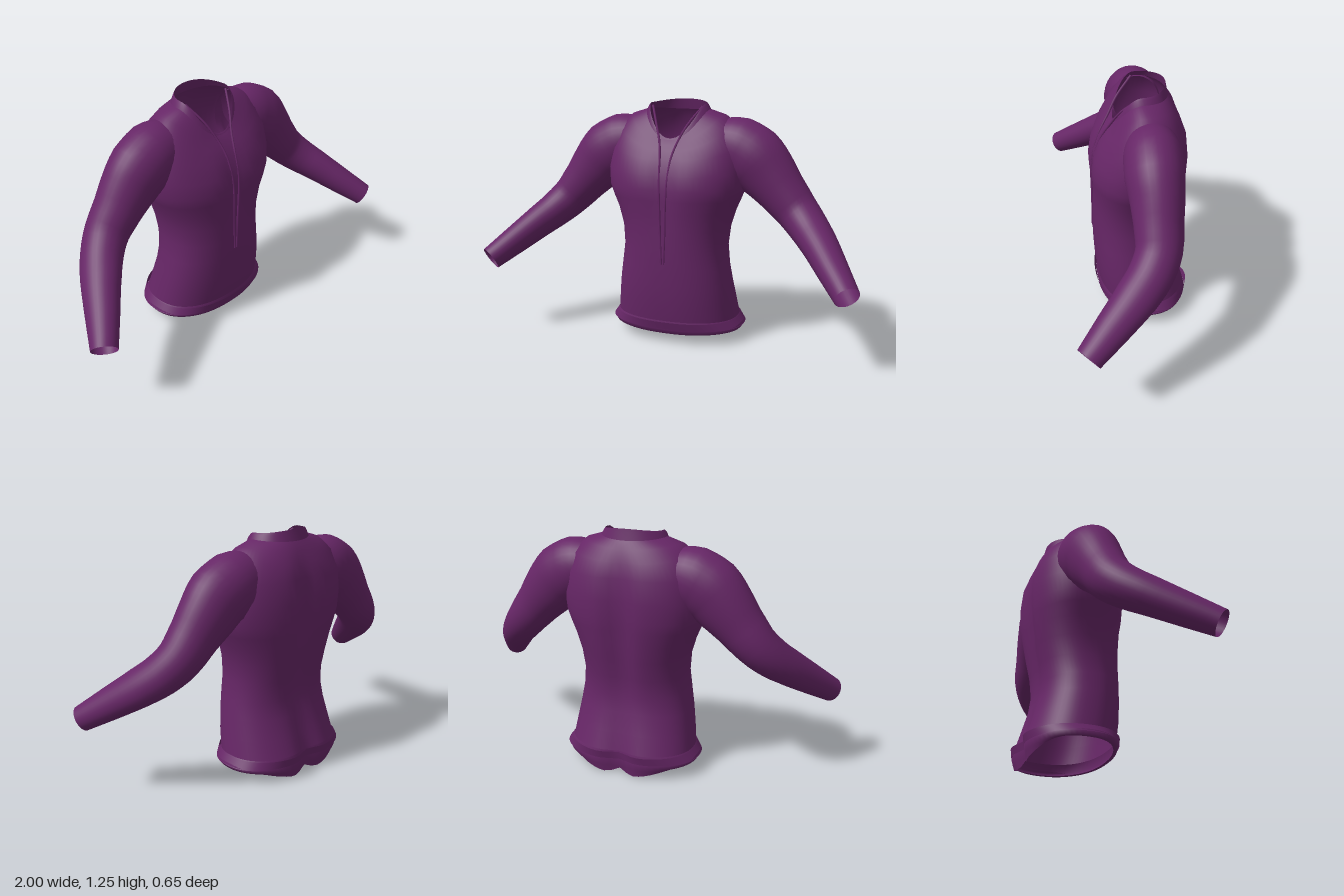
import * as THREE from 'three';

const fabric = new THREE.MeshStandardMaterial({ color: 0x662666, side: THREE.DoubleSide });
fabric.name = 'purple fabric';

// Skin a list of closed rings (each an array of Vector3) with smooth normals
function loft(rings, name) {
  const n = rings[0].length, pos = [], idx = [];
  rings.forEach(r => r.forEach(p => pos.push(p.x, p.y, p.z)));
  for (let i = 0; i < rings.length - 1; i++) {
    for (let j = 0; j < n; j++) {
      const a = i * n + j, b = i * n + (j + 1) % n;
      idx.push(a, a + n, b, b, a + n, b + n);
    }
  }
  const g = new THREE.BufferGeometry();
  g.setAttribute('position', new THREE.Float32BufferAttribute(pos, 3));
  g.setIndex(idx);
  g.computeVertexNormals();
  const mesh = new THREE.Mesh(g, fabric);
  mesh.name = name;
  return mesh;
}

// Body cross-section: half width, front and back depth, heights at front, side and back,
// plus grooves down the breastbone and the spine
function bodyRing({ w, f, b, y, yf = y, yb = y, e = 2.3, chest = 0, spine = 0, pow = 2, notch = 0 }) {
  const pts = [], N = 64, mid = (f + b) / 2, half = (f - b) / 2;
  for (let i = 0; i < N; i++) {
    const a = i / N * Math.PI * 2, c = Math.cos(a), s = Math.sin(a);
    const x = w * Math.sign(c) * Math.abs(c) ** (2 / e);
    let z = mid + half * Math.sign(s) * Math.abs(s) ** (2 / e);
    const dip = Math.exp(-((x / 0.07) ** 2));
    z += s > 0 ? -chest * dip : spine * dip;
    let h = y + ((s > 0 ? yf : yb) - y) * Math.abs(s) ** pow;
    if (s < 0) h += notch * Math.exp(-((x / 0.04) ** 2));
    pts.push(new THREE.Vector3(x, h, z));
  }
  return pts;
}

function sleeve(side) {
  // centre x, y, z, radius across, radius front to back
  const rows = [
    [0.22, 1.04, -0.09, 0.13, 0.12],
    [0.31, 1.02, -0.09, 0.16, 0.14],
    [0.40, 0.97, -0.085, 0.165, 0.14],
    [0.47, 0.90, -0.085, 0.15, 0.128],
    [0.55, 0.81, -0.08, 0.125, 0.115],
    [0.63, 0.72, -0.07, 0.108, 0.108],
    [0.70, 0.65, -0.025, 0.098, 0.105],
    [0.77, 0.585, 0.05, 0.088, 0.1],
    [0.86, 0.495, 0.17, 0.075, 0.083],
    [0.945, 0.41, 0.285, 0.062, 0.064],
  ];
  const path = new THREE.CatmullRomCurve3(rows.map(r => new THREE.Vector3(r[0] * side, r[1], r[2])));
  const steps = (rows.length - 1) * 3, rings = [];
  for (let i = 0; i <= steps; i++) {
    const t = i / steps, k = Math.min(Math.floor(i / 3), rows.length - 2), m = i / 3 - k;
    const c = path.getPoint(t), d = path.getTangent(t);
    const u = new THREE.Vector3(0, 0, 1).cross(d).normalize();
    const v = d.clone().cross(u);
    const ru = THREE.MathUtils.lerp(rows[k][3], rows[k + 1][3], m);
    const rv = THREE.MathUtils.lerp(rows[k][4], rows[k + 1][4], m);
    const ring = [];
    for (let j = 0; j < 32; j++) {
      const a = -j / 32 * Math.PI * 2;
      ring.push(c.clone().addScaledVector(u, ru * Math.cos(a)).addScaledVector(v, rv * Math.sin(a)));
    }
    rings.push(ring);
  }
  return loft(rings, side > 0 ? 'leftSleeve' : 'rightSleeve');
}

// Thin cord running from the collar down the chest
function cord(side) {
  const pts = [[0.135, 1.225, -0.05], [0.085, 1.14, 0.03], [0.05, 1.06, 0.078], [0.03, 0.98, 0.122],
    [0.022, 0.88, 0.155], [0.017, 0.78, 0.168], [0.012, 0.6, 0.168], [0.006, 0.44, 0.17]];
  const curve = new THREE.CatmullRomCurve3(pts.map(p => new THREE.Vector3(p[0] * side, p[1], p[2])));
  const mesh = new THREE.Mesh(new THREE.TubeGeometry(curve, 40, 0.006, 6), fabric);
  mesh.name = side > 0 ? 'leftCord' : 'rightCord';
  return mesh;
}

export function createModel() {
  const shirt = new THREE.Group();
  shirt.name = 'shirt';

  // Torso from neckline down to the hem
  const torso = [
    { w: 0.168, f: 0.066, b: -0.208, y: 1.21, yf: 1.062, yb: 1.2, e: 2.1 },
    { w: 0.25, f: 0.085, b: -0.235, y: 1.185, yf: 1.04, yb: 1.16, e: 2.1 },
    { w: 0.32, f: 0.108, b: -0.265, y: 1.13, yf: 1.01, yb: 1.1, e: 2.2, chest: 0.005, spine: 0.01 },
    { w: 0.36, f: 0.14, b: -0.292, y: 1.03, yf: 0.965, yb: 1.03, chest: 0.012, spine: 0.02 },
    { w: 0.37, f: 0.172, b: -0.305, y: 0.91, yf: 0.89, yb: 0.92, chest: 0.018, spine: 0.03 },
    { w: 0.362, f: 0.184, b: -0.302, y: 0.82, chest: 0.02, spine: 0.035 },
    { w: 0.34, f: 0.182, b: -0.297, y: 0.765, chest: 0.016, spine: 0.035 },
    { w: 0.312, f: 0.174, b: -0.288, y: 0.7, chest: 0.008, spine: 0.035 },
    { w: 0.285, f: 0.171, b: -0.275, y: 0.61, chest: 0.004, spine: 0.03 },
    { w: 0.276, f: 0.17, b: -0.253, y: 0.51, spine: 0.025 },
    { w: 0.288, f: 0.169, b: -0.24, y: 0.41, spine: 0.015 },
    { w: 0.303, f: 0.166, b: -0.252, y: 0.32, spine: 0.012 },
    { w: 0.318, f: 0.16, b: -0.283, y: 0.22, spine: 0.02 },
    { w: 0.33, f: 0.146, b: -0.312, y: 0.13, spine: 0.03 },
  ];
  shirt.add(loft(torso.map(bodyRing), 'torso'));

  // Standing collar, low at the front
  shirt.add(loft([
    { w: 0.148, f: 0.06, b: -0.196, y: 1.24, yf: 1.07, yb: 1.255, e: 2.1 },
    { w: 0.156, f: 0.063, b: -0.2, y: 1.232, yf: 1.067, yb: 1.235, e: 2.1 },
    { w: 0.168, f: 0.066, b: -0.208, y: 1.21, yf: 1.062, yb: 1.2, e: 2.1 },
  ].map(bodyRing), 'collar'));

  // Flared hem dropping into a notched tail at the back
  shirt.add(loft([
    { w: 0.33, f: 0.146, b: -0.312, y: 0.13, spine: 0.03 },
    { w: 0.362, f: 0.152, b: -0.322, y: 0.092, yb: 0.085, spine: 0.035 },
    { w: 0.35, f: 0.142, b: -0.315, y: 0.068, yf: 0.062, yb: 0.045, spine: 0.035, pow: 4 },
    { w: 0.335, f: 0.125, b: -0.308, y: 0.07, yf: 0.062, yb: 0.003, spine: 0.03, pow: 4, notch: 0.03 },
  ].map(bodyRing), 'hem'));

  // Loose folded edge over the hem
  shirt.add(loft([
    { w: 0.335, f: 0.164, b: -0.333, y: 0.128, spine: 0.04 },
    { w: 0.364, f: 0.153, b: -0.323, y: 0.088, spine: 0.035 },
  ].map(bodyRing), 'hemFold'));

  for (const side of [1, -1]) shirt.add(sleeve(side), cord(side));
  return shirt;
}
